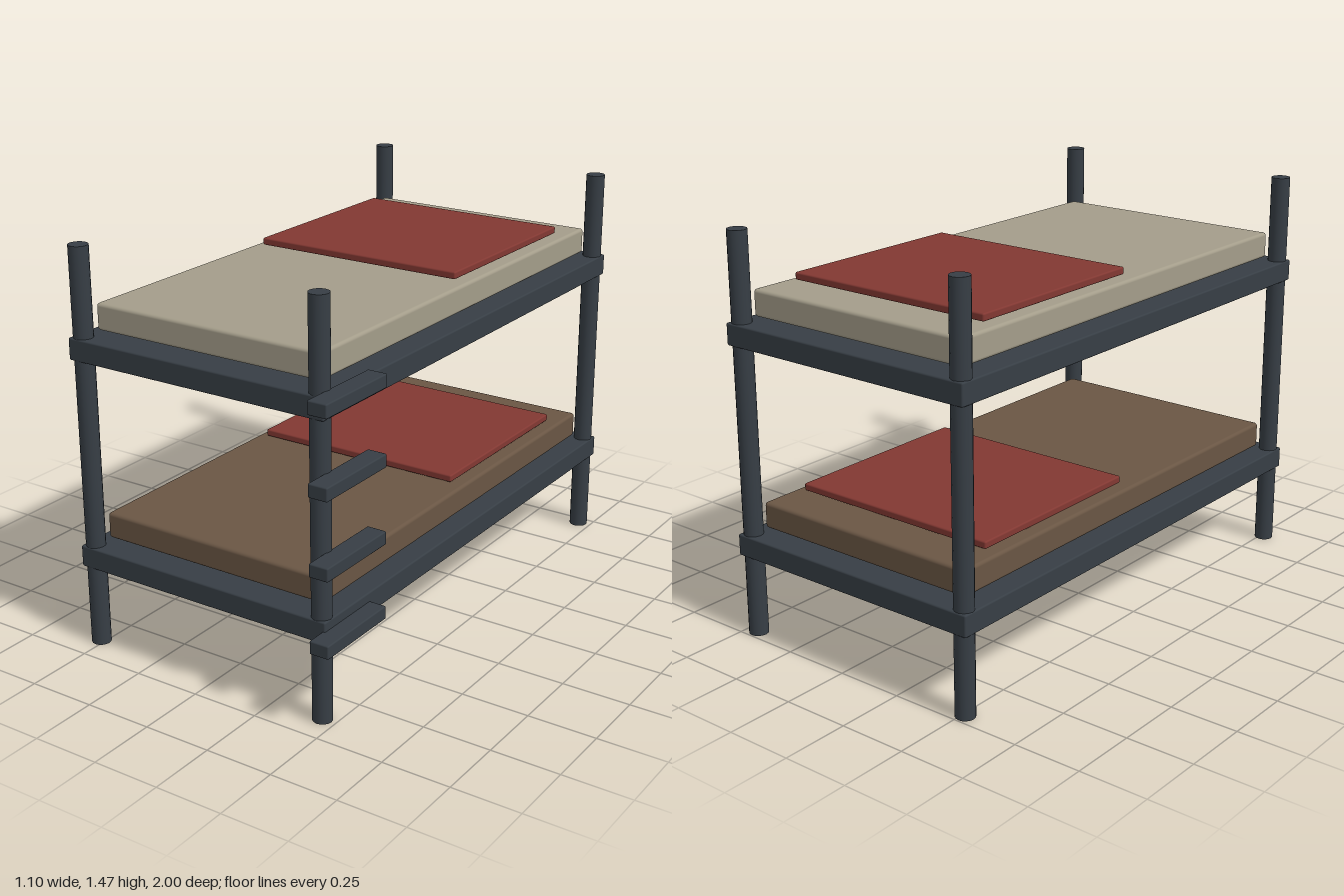
import * as THREE from 'three';
import { RoundedBoxGeometry } from 'three/addons/geometries/RoundedBoxGeometry.js';

function material(name, color) {
  const m = new THREE.MeshStandardMaterial({ color });
  m.name = name;
  return m;
}

// Soft-edged box given by its [min, max] range on each axis
function block(name, mat, [x0, x1], [y0, y1], [z0, z1], radius) {
  const geometry = new RoundedBoxGeometry(x1 - x0, y1 - y0, z1 - z0, 2, radius);
  const mesh = new THREE.Mesh(geometry, mat);
  mesh.position.set((x0 + x1) / 2, (y0 + y1) / 2, (z0 + z1) / 2);
  mesh.name = name;
  return mesh;
}

export function createModel() {
  const metal = material('dark metal', 0x373e45);
  const beige = material('beige mattress', 0xa49d8a);
  const brown = material('brown mattress', 0x6a5644);
  const red = material('red blanket', 0x823832);

  const bed = new THREE.Group();
  bed.name = 'bunkBed';

  // Four round corner posts
  const postGeometry = new THREE.CylinderGeometry(0.035, 0.035, 1.465, 16);
  for (const x of [-0.514, 0.449]) {
    for (const z of [-0.96, 0.892]) {
      const post = new THREE.Mesh(postGeometry, metal);
      post.position.set(x, 0.7325, z);
      post.name = 'cornerPost';
      bed.add(post);
    }
  }

  // Two bunks: deck, mattress and folded blanket
  const bunks = [
    { name: 'lowerBunk', y: 0.301, mattress: brown },
    { name: 'upperBunk', y: 1.066, mattress: beige },
  ];
  for (const { name, y, mattress } of bunks) {
    const bunk = new THREE.Group();
    bunk.name = name;
    bunk.position.y = y;
    bunk.add(
      block('deck', metal, [-0.551, 0.486], [0, 0.079], [-0.998, 0.928], 0.006),
      block('mattress', mattress, [-0.49, 0.426], [0.095, 0.191], [-0.925, 0.85], 0.012),
      block('blanket', red, [-0.447, 0.381], [0.198, 0.225], [-0.773, -0.024], 0.006),
    );
    bed.add(bunk);
  }

  // Ladder steps on the front left post
  for (let i = 0; i < 4; i++) {
    const y = 0.323 + i * 0.2705;
    bed.add(block('ladderStep', metal, [0.475, 0.548], [y - 0.024, y + 0.024], [0.665, 1], 0.005));
  }

  return bed;
}
